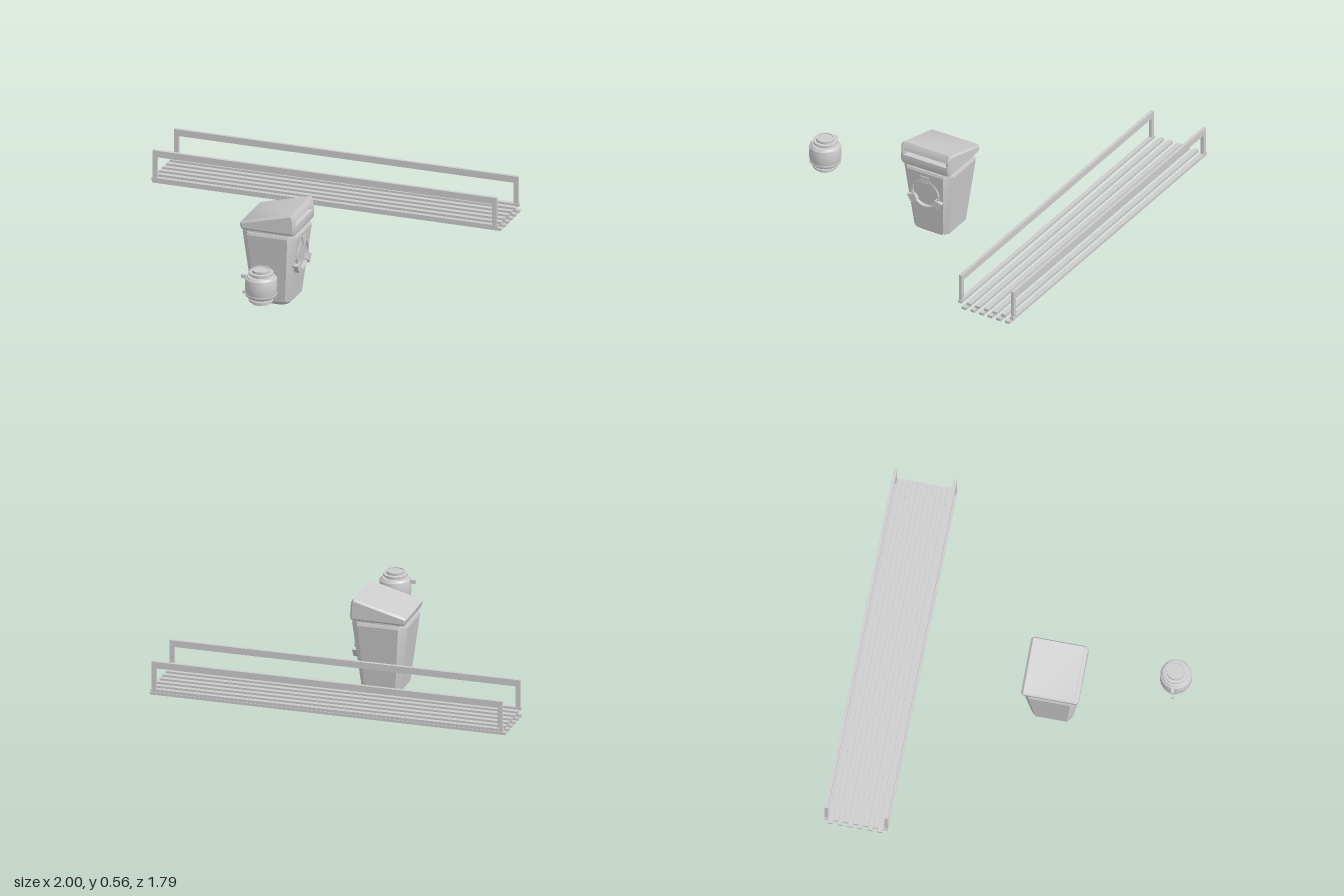
import * as THREE from 'three';
import { toCreasedNormals } from 'three/addons/utils/BufferGeometryUtils.js';

const material = new THREE.MeshStandardMaterial({ color: 0xcccccc, side: THREE.DoubleSide });

function add(parent, name, geometry, x = 0, y = 0, z = 0) {
  const mesh = new THREE.Mesh(geometry, material);
  mesh.name = name;
  mesh.position.set(x, y, z);
  parent.add(mesh);
  return mesh;
}

// Box given by its low and high corners
function block(parent, name, [x0, y0, z0], [x1, y1, z1]) {
  return add(parent, name, new THREE.BoxGeometry(x1 - x0, y1 - y0, z1 - z0),
    (x0 + x1) / 2, (y0 + y1) / 2, (z0 + z1) / 2);
}

const shapeOf = (points) => new THREE.Shape(points.map(([x, y]) => new THREE.Vector2(x, y)));

// Stack of square sections with cut corners: [height, half width, corner cut]
function squareLoft(levels) {
  const positions = [], index = [];
  const ring = ([y, h, c]) => [[h, h - c], [h - c, h], [c - h, h], [-h, h - c],
    [-h, c - h], [c - h, -h], [h - c, -h], [h, c - h]].map(([x, z]) => [x, y, z]);
  levels.forEach((level) => positions.push(...ring(level).flat()));
  for (let j = 0; j < levels.length - 1; j++) {
    for (let i = 0; i < 8; i++) {
      const a = j * 8 + i, b = j * 8 + (i + 1) % 8;
      index.push(a, a + 8, b, b, a + 8, b + 8);
    }
  }
  const top = (levels.length - 1) * 8;
  for (let i = 1; i < 7; i++) index.push(0, i, i + 1, top, top + i + 1, top + i);
  const geometry = new THREE.BufferGeometry();
  geometry.setAttribute('position', new THREE.Float32BufferAttribute(positions, 3));
  geometry.setIndex(index);
  return toCreasedNormals(geometry, 0.4);
}

function createRack() {
  const rack = new THREE.Group();
  rack.name = 'slattedRack';
  // Lower, slightly longer slats
  for (let i = 0; i < 6; i++) {
    add(rack, 'lowerSlat', new THREE.BoxGeometry(2, 0.015, 0.028), 0, 0.256, -0.592 - i * 0.0543);
  }
  // Upper slats fill the gaps between them
  for (let i = 1; i < 6; i++) {
    add(rack, 'upperSlat', new THREE.BoxGeometry(1.98, 0.016, 0.027), 0, 0.282, -0.562 - i * 0.0543);
  }
  // Open rectangular side frames
  for (const z of [-0.56, -0.887]) {
    add(rack, 'frameBase', new THREE.BoxGeometry(1.98, 0.016, 0.024), 0, 0.282, z);
    add(rack, 'frameRail', new THREE.BoxGeometry(1.97, 0.037, 0.018), 0, 0.428, z);
    for (const s of [-1, 1]) {
      add(rack, 'framePost', new THREE.BoxGeometry(0.025, 0.125, 0.018), s * 0.9725, 0.348, z);
    }
  }
  return rack;
}

function createBin() {
  const bin = new THREE.Group();
  bin.name = 'bin';
  bin.position.z = 0.173;

  add(bin, 'binBody', squareLoft([[0, 0.075, 0.02], [0.03, 0.11, 0.025], [0.41, 0.155, 0.04], [0.425, 0.15, 0.035]]));
  add(bin, 'collar', squareLoft([[0.42, 0.142, 0.02], [0.442, 0.142, 0.02]]));

  // Sloping lid: slotted middle with solid bevelled ends
  const low = [[0.15, 0.435], [0.157, 0.45], [0.156, 0.488]];
  const slot = [[0.09, 0.493], [0.09, 0.507]];
  const high = [[0.155, 0.515], [0.151, 0.54], [0.14, 0.56], [-0.15, 0.483], [-0.16, 0.472], [-0.157, 0.45], [-0.148, 0.435]];
  const middle = new THREE.ExtrudeGeometry(shapeOf([...low, ...slot, ...high]), { depth: 0.274, bevelEnabled: false });
  add(bin, 'lidMiddle', toCreasedNormals(middle, 0.6), 0, 0, -0.137);
  const end = toCreasedNormals(new THREE.ExtrudeGeometry(shapeOf([...low, ...high]), {
    depth: 0.006, bevelThickness: 0.012, bevelSize: 0.012, bevelOffset: -0.012, bevelSegments: 1,
  }), 0.6);
  for (const s of [-1, 1]) add(bin, 'lidEnd', end, 0, 0, s * 0.141 - 0.003);

  // Round emblem with three wedges on the slot side
  const emblem = new THREE.Group();
  emblem.name = 'emblem';
  emblem.position.set(0.115, 0.28, 0.003);
  emblem.rotation.y = Math.PI / 2;
  const hoop = new THREE.Shape().absarc(0, 0, 0.086, 0, Math.PI * 2);
  hoop.holes.push(new THREE.Path().absarc(0, 0, 0.077, 0, Math.PI * 2, true));
  add(emblem, 'hoop', toCreasedNormals(
    new THREE.ExtrudeGeometry(hoop, { depth: 0.037, bevelEnabled: false, curveSegments: 24 }), 0.6));
  const wedge = new THREE.ExtrudeGeometry(
    shapeOf([[-0.016, 0.065], [0.016, 0.065], [0.027, 0.11], [-0.027, 0.11]]),
    { depth: 0.043, bevelEnabled: false });
  for (let i = 0; i < 3; i++) add(emblem, 'wedge', wedge).rotation.z = i * Math.PI * 2 / 3;
  bin.add(emblem);
  return bin;
}

function createBarrel() {
  const barrel = new THREE.Group();
  barrel.name = 'barrel';
  barrel.position.set(0.145, 0.332, 0.807);

  // Half profile from the middle up, mirrored for the lower half
  const upper = [[0.087, 0], [0.086, 0.022], [0.083, 0.038], [0.087, 0.039], [0.085, 0.049], [0.08, 0.05],
    [0.073, 0.06], [0.056, 0.061], [0.056, 0.07], [0.067, 0.071], [0.067, 0.082], [0.05, 0.083],
    [0.05, 0.097], [0.042, 0.097], [0.042, 0.092], [0, 0.092]];
  const lower = upper.slice(1).reverse().map(([r, y]) => [r, -y]);
  const profile = [...lower, ...upper].map(([r, y]) => new THREE.Vector2(r, y));
  add(barrel, 'barrelShell', toCreasedNormals(new THREE.LatheGeometry(profile, 32), 0.6));

  // Side lugs
  block(barrel, 'upperLug', [-0.113, 0.033, -0.008], [-0.07, 0.053, 0.008]);
  block(barrel, 'lowerLug', [-0.105, -0.055, -0.008], [-0.07, -0.039, 0.008]);
  return barrel;
}

export function createModel() {
  const model = new THREE.Group();
  model.name = 'streetFurniture';
  model.add(createRack(), createBin(), createBarrel());
  return model;
}
